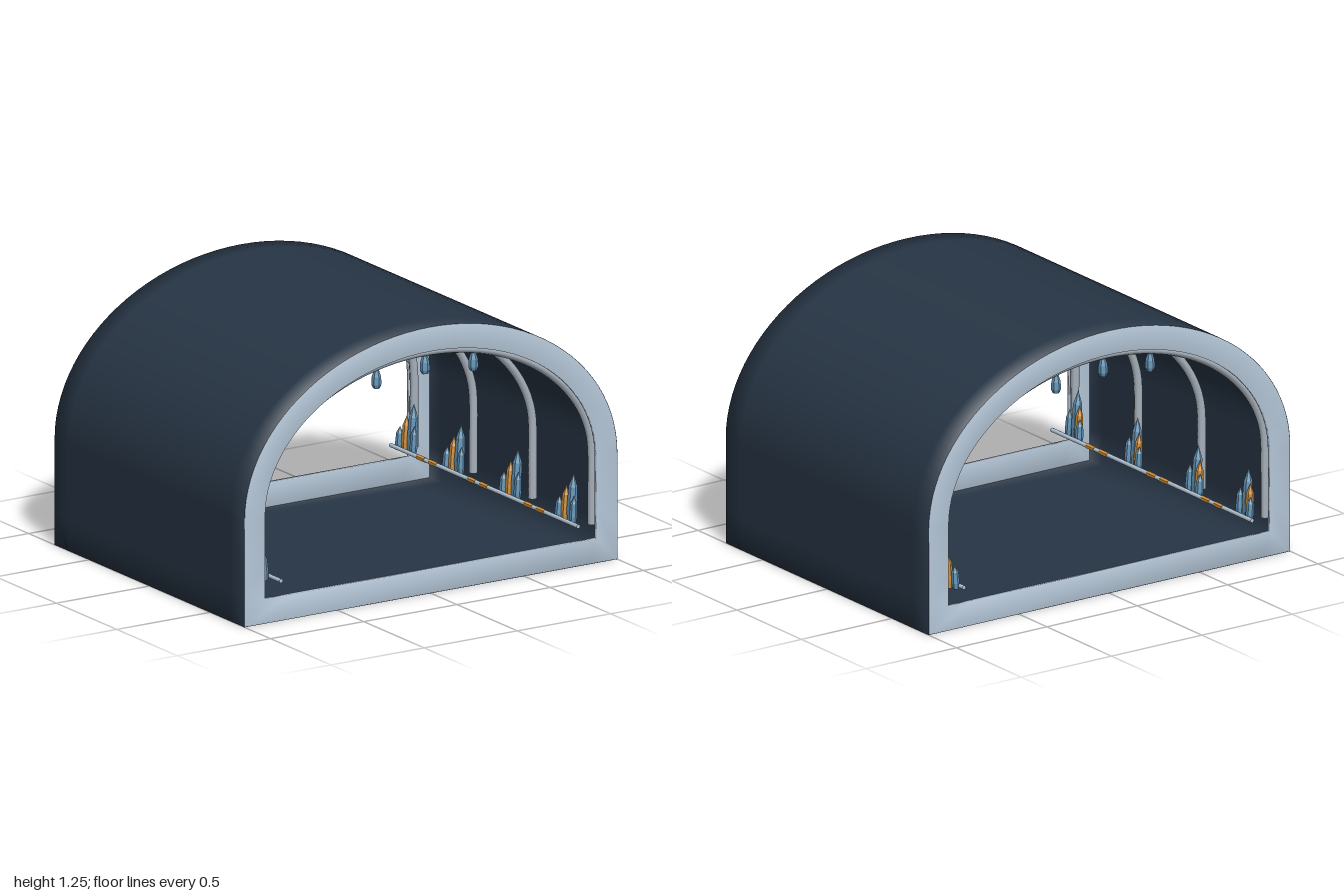
import * as THREE from 'three';

const mat = (name, color, extra = {}) => {
  const m = new THREE.MeshStandardMaterial({ color, ...extra });
  m.name = name;
  return m;
};

// Closed tunnel outline: straight walls, elliptical vault, flat floor
function outline(halfWidth, floor, spring, top, z) {
  const pts = [];
  const add = (x, y) => pts.push(new THREE.Vector3(x, y, z));
  const low = floor + 0.15;
  add(halfWidth, floor);
  add(halfWidth, low);
  for (let i = 0; i <= 48; i++) {
    const a = (i / 48) * Math.PI;
    add(halfWidth * Math.cos(a), spring + (top - spring) * Math.sin(a));
  }
  add(-halfWidth, low);
  add(-halfWidth, floor);
  add(-halfWidth * 0.85, floor);
  add(halfWidth * 0.85, floor);
  return pts;
}

// Smooth skin through a row of closed outlines
function loft(rings, closed = false) {
  const n = rings[0].length, index = [];
  const rows = closed ? rings.length : rings.length - 1;
  for (let i = 0; i < rows; i++) {
    const k = (i + 1) % rings.length;
    for (let j = 0; j < n; j++) {
      const l = (j + 1) % n;
      const a = i * n + j, b = i * n + l, c = k * n + l, d = k * n + j;
      index.push(a, b, c, a, c, d);
    }
  }
  const g = new THREE.BufferGeometry().setFromPoints(rings.flat());
  g.setIndex(index);
  g.computeVertexNormals();
  return g;
}

export function createModel() {
  const model = new THREE.Group();
  model.name = 'tunnel';
  const shellMat = mat('dark navy', 0x273545, { side: THREE.DoubleSide });
  const frameMat = mat('pale steel', 0xb6c8d9);
  const ribMat = mat('grey steel', 0xa9b3be);
  const blueMat = mat('crystal blue', 0x6596b8, { flatShading: true });
  const amberMat = mat('amber', 0xd3923c, { flatShading: true });

  const mesh = (name, geometry, material, parent = model) => {
    const m = new THREE.Mesh(geometry, material);
    m.name = name;
    parent.add(m);
    return m;
  };

  // Thin shell with small lips tucked behind the end frames
  const outer = z => outline(1, 0, 0.5, 1.25, z);
  const lip = z => outline(0.92, 0.08, 0.5, 1.17, z);
  mesh('shell', loft([lip(-0.775), outer(-0.785), outer(-0.67), outer(0),
    outer(0.67), outer(0.785), lip(0.775)]), shellMat);

  // End frames
  const rim = z => outline(0.999, 0.001, 0.5, 1.249, z);
  const opening = z => outline(0.89, 0.115, 0.5, 1.135, z);
  const frameGeo = loft([rim(0.01), opening(0.01), opening(-0.01), rim(-0.01)], true);
  mesh('frontFrame', frameGeo, frameMat).position.z = 0.7755;
  mesh('backFrame', frameGeo, frameMat).position.z = -0.7755;

  // Arched ribs, each with three hanging lamps
  const ribPts = [new THREE.Vector3(0.895, 0.17, 0), new THREE.Vector3(0.895, 0.34, 0)];
  for (let i = 0; i <= 24; i++) {
    const a = (i / 24) * Math.PI;
    ribPts.push(new THREE.Vector3(0.895 * Math.cos(a), 0.5 + 0.62 * Math.sin(a), 0));
  }
  ribPts.push(new THREE.Vector3(-0.895, 0.34, 0), new THREE.Vector3(-0.895, 0.17, 0));
  const ribGeo = new THREE.TubeGeometry(new THREE.CatmullRomCurve3(ribPts), 80, 0.02, 8);
  const lampGeo = new THREE.LatheGeometry([[0, -0.085], [0.016, -0.083], [0.023, -0.065],
    [0.021, -0.03], [0.012, 0], [0, 0.005]].map(p => new THREE.Vector2(...p)), 6);
  for (const z of [-0.735, -0.245, 0.245, 0.735]) {
    const bay = new THREE.Group();
    bay.name = 'ribWithLamps';
    bay.position.z = z;
    model.add(bay);
    mesh('rib', ribGeo, ribMat, bay);
    for (const x of [-0.26, 0, 0.26]) {
      const y = 0.5 + 0.62 * Math.sqrt(1 - (x / 0.895) ** 2) - 0.018;
      mesh('lamp', lampGeo, blueMat, bay).position.set(x, y, 0);
    }
  }

  // Faceted crystal of unit height with a pointed tip
  const crystalGeo = new THREE.LatheGeometry([[0, 0], [0.8, 0], [1, 0.25], [0.85, 0.72], [0, 1]]
    .map(p => new THREE.Vector2(...p)), 6);
  // Each crystal: x from wall side, z offset, radius, height, material
  const crystals = [
    [0.84, 0.0, 0.024, 0.225, blueMat],
    [0.828, -0.035, 0.02, 0.165, amberMat],
    [0.812, -0.062, 0.019, 0.11, blueMat],
    [0.825, 0.036, 0.018, 0.13, blueMat],
  ];
  const railGeo = new THREE.CylinderGeometry(0.01, 0.01, 1.55, 8).rotateX(Math.PI / 2);
  const beadGeo = new THREE.CylinderGeometry(0.013, 0.013, 0.06, 6).rotateX(Math.PI / 2);

  for (const side of [-1, 1]) {
    // Crystal clusters along the wall foot
    for (const z of [-0.67, -0.28, 0.19, 0.65]) {
      const cluster = new THREE.Group();
      cluster.name = side > 0 ? 'leftCrystals' : 'rightCrystals';
      cluster.position.set(0, 0.17, z);
      model.add(cluster);
      for (const [x, dz, r, h, material] of crystals) {
        const c = mesh('crystal', crystalGeo, material, cluster);
        c.position.set(side * x, 0, dz);
        c.scale.set(r, h, r);
        c.rotation.z = -side * 0.06;
      }
    }
    // Low rail with amber beads
    mesh(side > 0 ? 'leftRail' : 'rightRail', railGeo, frameMat).position.set(side * 0.797, 0.183, 0);
    for (const z of [-0.47, -0.05, 0.42]) {
      for (const dz of [-0.05, 0.05]) {
        mesh('railBead', beadGeo, amberMat).position.set(side * 0.797, 0.183, z + dz);
      }
    }
  }
  return model;
}
